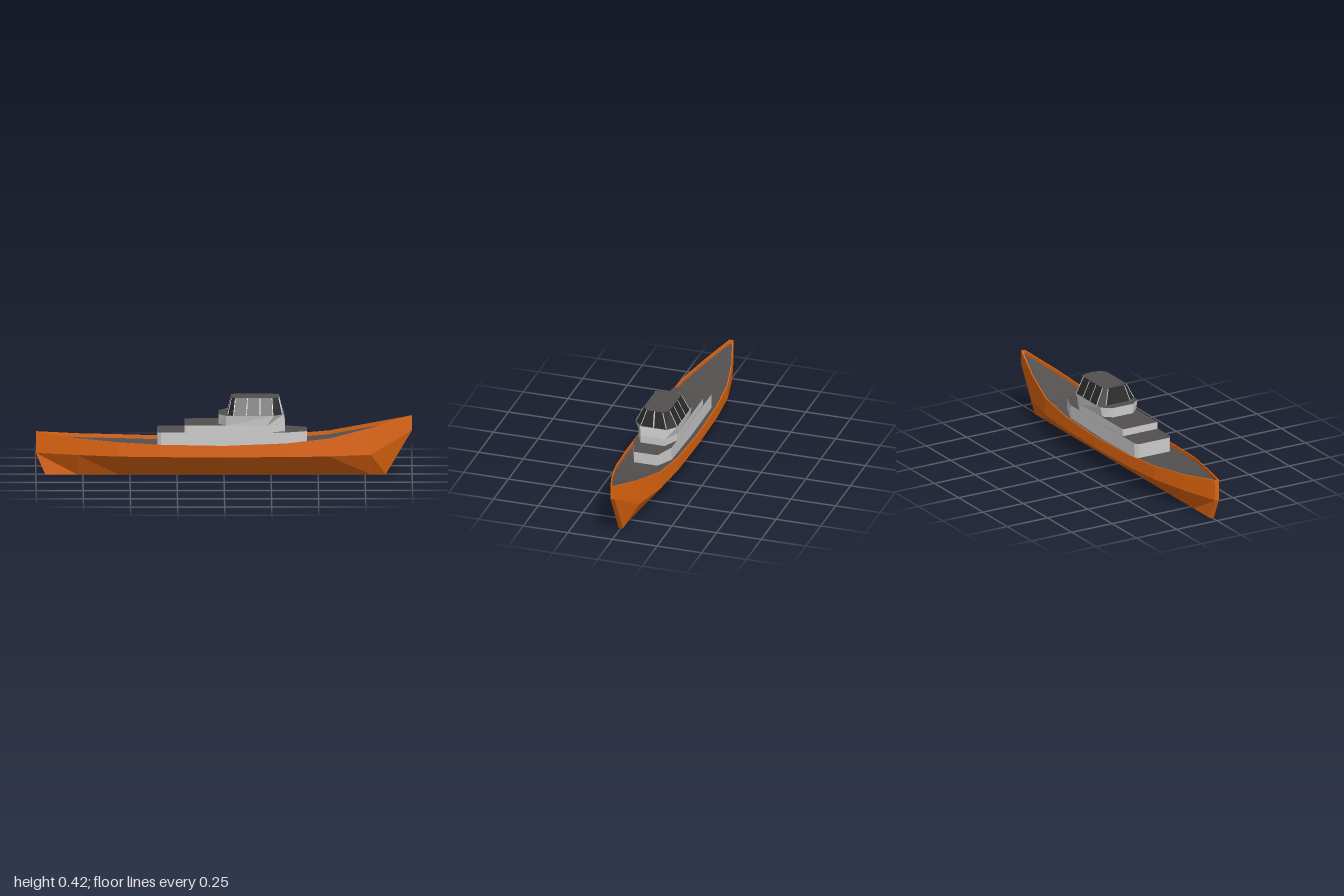
import * as THREE from 'three';

const mat = (color) => new THREE.MeshStandardMaterial({ color, flatShading: true, side: THREE.DoubleSide });
const orange = mat(0xe0650f), deckGrey = mat(0x545050), grey = mat(0xcccccc), glass = mat(0x282828);

// Mesh from a list of quads / polygons, each fanned from its first corner
function faceMesh(name, faces, material) {
  const pos = [];
  for (const f of faces)
    for (let i = 1; i < f.length - 1; i++) pos.push(...f[0], ...f[i], ...f[i + 1]);
  const g = new THREE.BufferGeometry();
  g.setAttribute('position', new THREE.Float32BufferAttribute(pos, 3));
  g.computeVertexNormals();
  const m = new THREE.Mesh(g, material);
  m.name = name;
  return m;
}

// Half outline [x, z] from aft to fore, mirrored to a closed ring at height y
const ring = (half, y) => [
  ...half.map(([x, z]) => [x, y, z]),
  ...[...half].reverse().map(([x, z]) => [x, y, -z]),
];

// Block between two mirrored outlines, with its own roof material
function block(name, low, y0, high, y1, sideMat, roofMat) {
  const a = ring(low, y0), b = ring(high, y1), n = a.length;
  const group = new THREE.Group();
  group.name = name;
  group.add(faceMesh(name + 'Walls', a.map((p, i) => [p, a[(i + 1) % n], b[(i + 1) % n], b[i]]), sideMat));
  group.add(faceMesh(name + 'Roof', [b], roofMat));
  return group;
}

// Thin bar between two points
function bar(name, a, b, t) {
  const p = new THREE.Vector3(...a), q = new THREE.Vector3(...b);
  const m = new THREE.Mesh(new THREE.BoxGeometry(t, p.distanceTo(q), t), grey);
  m.position.copy(p).lerp(q, 0.5);
  m.quaternion.setFromUnitVectors(new THREE.Vector3(0, 1, 0), q.sub(p).normalize());
  m.name = name;
  return m;
}

function createHull() {
  // Stations: rail x, half width, rail height, chine height, keel x
  const stations = [
    [-1, 0.012, 0.23, 0.117, -0.95],
    [-0.78, 0.078, 0.207, 0.117, -0.78],
    [-0.56, 0.127, 0.193, 0.117, -0.56],
    [-0.33, 0.146, 0.183, 0.117, -0.33],
    [0, 0.152, 0.178, 0.117, 0],
    [0.33, 0.146, 0.19, 0.117, 0.33],
    [0.56, 0.127, 0.213, 0.117, 0.56],
    [0.78, 0.078, 0.262, 0.117, 0.78],
    [1, 0.012, 0.315, 0.24, 0.86],
  ];
  const sections = stations.map(([x, w, top, chine, kx]) => {
    const inner = Math.max(w - 0.006, 0.003);
    const ix = x - Math.sign(x) * (Math.abs(x) === 1 ? 0.008 : 0);
    const half = [
      [ix, top - 0.02, inner], [ix, top, inner], [x, top, w],
      [x, chine, w], [kx, 0, 0.012],
    ];
    return [...half, ...half.map(([px, py, pz]) => [px, py, -pz]).reverse()];
  });
  const skin = [], deck = [];
  for (let i = 0; i < sections.length - 1; i++) {
    const s = sections[i], t = sections[i + 1];
    for (let j = 0; j < 9; j++) {
      // mirrored diagonal on the far side
      skin.push(j < 5 ? [s[j], s[j + 1], t[j + 1], t[j]] : [s[j + 1], t[j + 1], t[j], s[j]]);
    }
    deck.push([s[0], t[0], t[9], s[9]]);
  }
  // Narrow flat stem and stern strips, with the rail closed across the ends
  const stern = sections[0], bow = sections[sections.length - 1];
  for (const j of [1, 2, 3]) {
    skin.push([stern[j], stern[9 - j], stern[8 - j], stern[j + 1]]);
    skin.push([bow[j], bow[j + 1], bow[8 - j], bow[9 - j]]);
  }
  const g = new THREE.Group();
  g.name = 'hull';
  g.add(faceMesh('hullShell', skin, orange), faceMesh('deck', deck, deckGrey));
  return g;
}

function createWheelhouse() {
  const low = [[0.02, 0.075], [0.05, 0.115], [0.26, 0.115], [0.31, 0.072]];
  const high = [[0.04, 0.05], [0.06, 0.072], [0.255, 0.072], [0.29, 0.045]];
  const y0 = 0.335, y1 = 0.422;
  const g = new THREE.Group();
  g.name = 'wheelhouse';
  g.add(block('windowBand', low, y0, high, y1, glass, deckGrey));
  // Window posts at the corners and along the sides
  const mix = (p, q, t) => p.map((v, i) => v + (q[i] - v) * t);
  const feet = [...low, mix(low[1], low[2], 0.33), mix(low[1], low[2], 0.67)];
  const heads = [...high, mix(high[1], high[2], 0.33), mix(high[1], high[2], 0.67)];
  feet.forEach(([x, z], i) => {
    const [hx, hz] = heads[i];
    for (const s of [1, -1]) g.add(bar('windowPost', [x, y0, s * z], [hx, y1 - 0.002, s * hz], 0.004));
  });
  g.add(bar('frontPost', [0.31, y0, 0], [0.29, y1 - 0.002, 0], 0.007));
  return g;
}

export function createModel() {
  const model = new THREE.Group();
  model.name = 'boat';
  model.add(createHull());

  // Long low deckhouse
  const lower = [[-0.355, 0.095], [-0.335, 0.11], [0.33, 0.108], [0.44, 0.065]];
  model.add(block('lowerDeckhouse', lower, 0.15, lower, 0.243, grey, deckGrey));

  // Upper deckhouse, tapering under the bridge
  const upper = [[-0.21, 0.105], [-0.2, 0.108], [0.24, 0.108], [0.325, 0.068]];
  model.add(block('upperDeckhouse', upper, 0.24, upper, 0.282, grey, deckGrey));

  // Bridge base flaring out to the window line
  const baseLow = [[-0.03, 0.06], [0.01, 0.105], [0.23, 0.112], [0.325, 0.068]];
  const baseHigh = [[-0.03, 0.06], [0.01, 0.115], [0.265, 0.116], [0.316, 0.073]];
  model.add(block('bridgeBase', baseLow, 0.28, baseHigh, 0.335, grey, deckGrey));

  model.add(createWheelhouse());
  return model;
}
